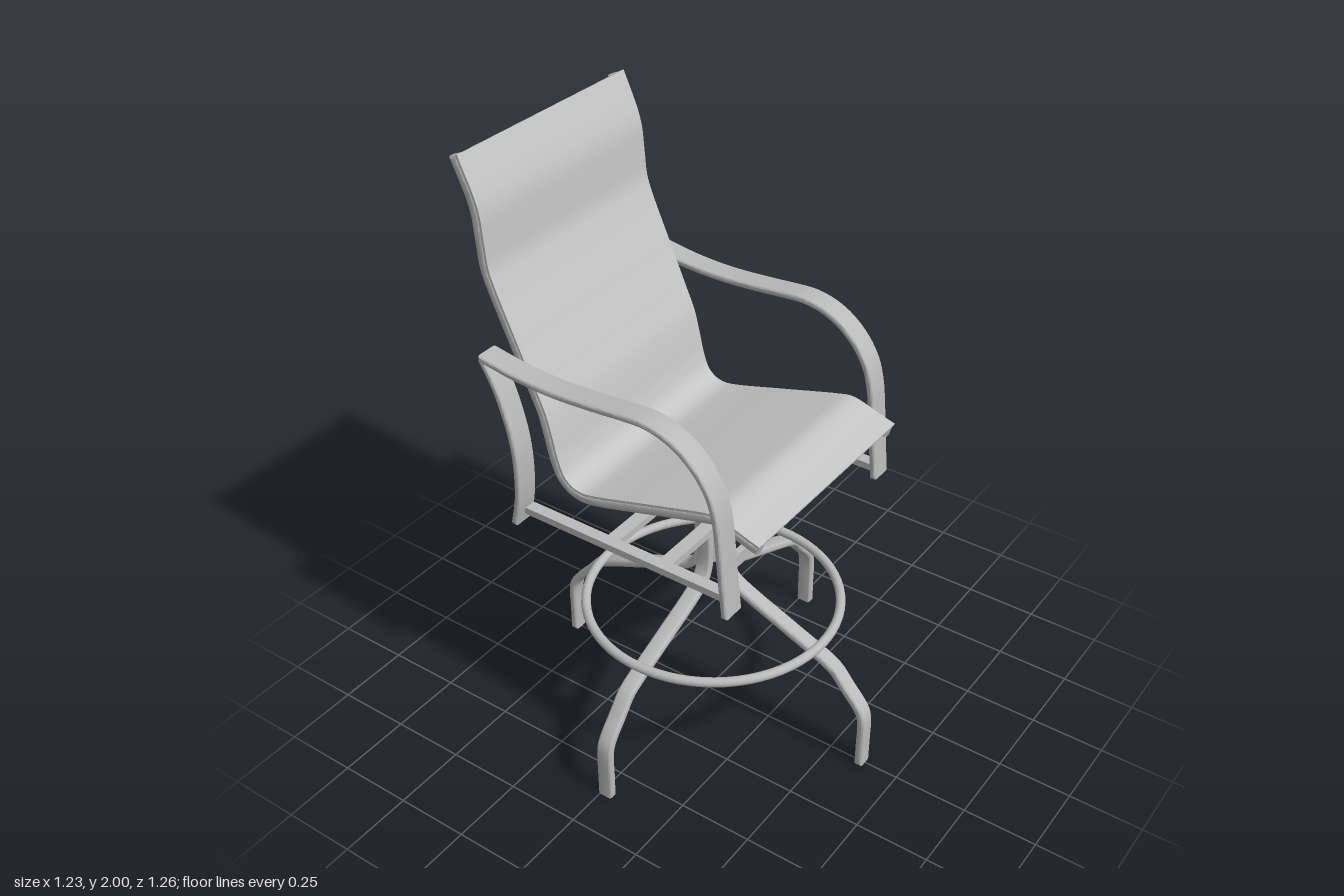
import * as THREE from 'three';
import { toCreasedNormals } from 'three/addons/utils/BufferGeometryUtils.js';

const frameMat = new THREE.MeshStandardMaterial({ color: 0xbababa });
frameMat.name = 'frame grey';
const slingMat = new THREE.MeshStandardMaterial({ color: 0xc4c4c4 });
slingMat.name = 'sling light grey';

// Strip following a side profile of [z, y] points: lo..hi is its thickness, width runs along x
function strip(points, lo, hi, width, bevel = 0, segments = 70) {
  const curve = new THREE.CatmullRomCurve3(
    points.map(([z, y]) => new THREE.Vector3(z, y, 0)), false, 'centripetal');
  const top = [], bottom = [];
  for (let i = 0; i <= segments; i++) {
    const p = curve.getPointAt(i / segments), t = curve.getTangentAt(i / segments);
    top.push(new THREE.Vector2(p.x + t.y * hi, p.y - t.x * hi));
    bottom.unshift(new THREE.Vector2(p.x + t.y * lo, p.y - t.x * lo));
  }
  const depth = width - 2 * bevel;
  const geo = new THREE.ExtrudeGeometry(new THREE.Shape([...top, ...bottom]), {
    depth, bevelEnabled: bevel > 0, bevelSize: bevel, bevelThickness: bevel,
    bevelOffset: -bevel, bevelSegments: 3,
  });
  geo.translate(0, 0, -depth / 2);
  geo.rotateY(-Math.PI / 2);
  return toCreasedNormals(geo, 0.7);
}

export function createModel() {
  const model = new THREE.Group();
  model.name = 'swivelBarChair';

  const add = (name, geo, x = 0, y = 0, z = 0, parent = model, mat = frameMat) => {
    const mesh = new THREE.Mesh(geo, mat);
    mesh.name = name;
    mesh.position.set(x, y, z);
    parent.add(mesh);
    return mesh;
  };
  const box = (name, w, h, d, x, y, z) => add(name, new THREE.BoxGeometry(w, h, d), x, y, z);
  const crossTube = (name, r, length, y, z) =>
    add(name, new THREE.CylinderGeometry(r, r, length, 16).rotateZ(Math.PI / 2), 0, y, z);

  // Seat and back profile, from the front lip to the top
  const seatPath = [
    [0.44, 1.045], [0.37, 1.067], [0.315, 1.085], [0.285, 1.09], [0.25, 1.083],
    [0.05, 1.027], [-0.155, 0.97], [-0.2, 0.963], [-0.245, 0.972], [-0.283, 1.003],
    [-0.307, 1.06], [-0.327, 1.145], [-0.347, 1.22], [-0.375, 1.285], [-0.445, 1.445],
    [-0.512, 1.6], [-0.53, 1.655], [-0.539, 1.74], [-0.547, 1.82], [-0.56, 1.868], [-0.612, 1.988],
  ];
  add('sling', strip(seatPath, 0.013, 0.021, 0.77, 0, 120), 0, 0, 0, model, slingMat);
  const railGeo = strip(seatPath, -0.021, 0.013, 0.036, 0.01, 120);

  // Arms: a sweeping front and top strip plus a curved rear upright
  const armGeo = strip([
    [0.38, 0.82], [0.368, 0.94], [0.357, 1.06], [0.346, 1.15], [0.325, 1.225], [0.285, 1.29],
    [0.23, 1.342], [0.17, 1.374], [0.1, 1.39], [0.03, 1.388], [-0.07, 1.379], [-0.23, 1.37],
    [-0.37, 1.376], [-0.508, 1.396],
  ], -0.011, 0.011, 0.08, 0.007);
  const rearGeo = strip([
    [-0.418, 0.82], [-0.398, 0.92], [-0.393, 1.02], [-0.4, 1.12], [-0.423, 1.22],
    [-0.455, 1.31], [-0.497, 1.39],
  ], -0.011, 0.011, 0.08, 0.007, 40);

  for (const [side, s] of [['left', 1], ['right', -1]]) {
    add(side + 'SeatRail', railGeo, s * 0.365);
    add(side + 'Arm', armGeo, s * 0.426);
    add(side + 'ArmRearUpright', rearGeo, s * 0.426);
    box(side + 'BottomBar', 0.04, 0.024, 0.78, s * 0.41, 0.861, -0.02);
  }

  // Bars joining the two sides
  crossTube('topBar', 0.012, 0.71, 1.955, -0.604);
  crossTube('backLowerBar', 0.009, 0.74, 0.998, -0.305);
  box('frontBar', 0.79, 0.045, 0.02, 0, 0.985, 0.364);

  // Swivel mount under the seat
  for (const z of [0.122, -0.077]) {
    box('crossBar', 0.79, 0.024, 0.045, 0, 0.861, z);
    box('mountRiser', 0.295, 0.03, 0.042, 0, 0.834, z);
  }
  box('mountPlate', 0.08, 0.02, 0.24, 0, 0.81, 0.023);

  // Pedestal base: four bent legs around a post, with a foot ring
  const base = new THREE.Group();
  base.name = 'base';
  base.position.z = 0.02;
  model.add(base);
  add('swivelPost', new THREE.CylinderGeometry(0.03, 0.03, 0.24, 24), 0, 0.71, 0, base);
  const legGeo = strip([
    [0.047, 0.775], [0.047, 0.7], [0.047, 0.62], [0.055, 0.575], [0.08, 0.535], [0.125, 0.508],
    [0.3, 0.433], [0.44, 0.373], [0.482, 0.348], [0.53, 0.292], [0.575, 0.24], [0.592, 0.21],
    [0.598, 0.17], [0.598, 0.09], [0.598, 0],
  ], -0.014, 0.014, 0.055, 0.009);
  for (let i = 0; i < 4; i++) add('leg', legGeo, 0, 0, 0, base).rotation.y = i * Math.PI / 2;
  add('footRing', new THREE.TorusGeometry(0.424, 0.016, 14, 72).rotateX(Math.PI / 2), 0, 0.424, 0, base);

  return model;
}
